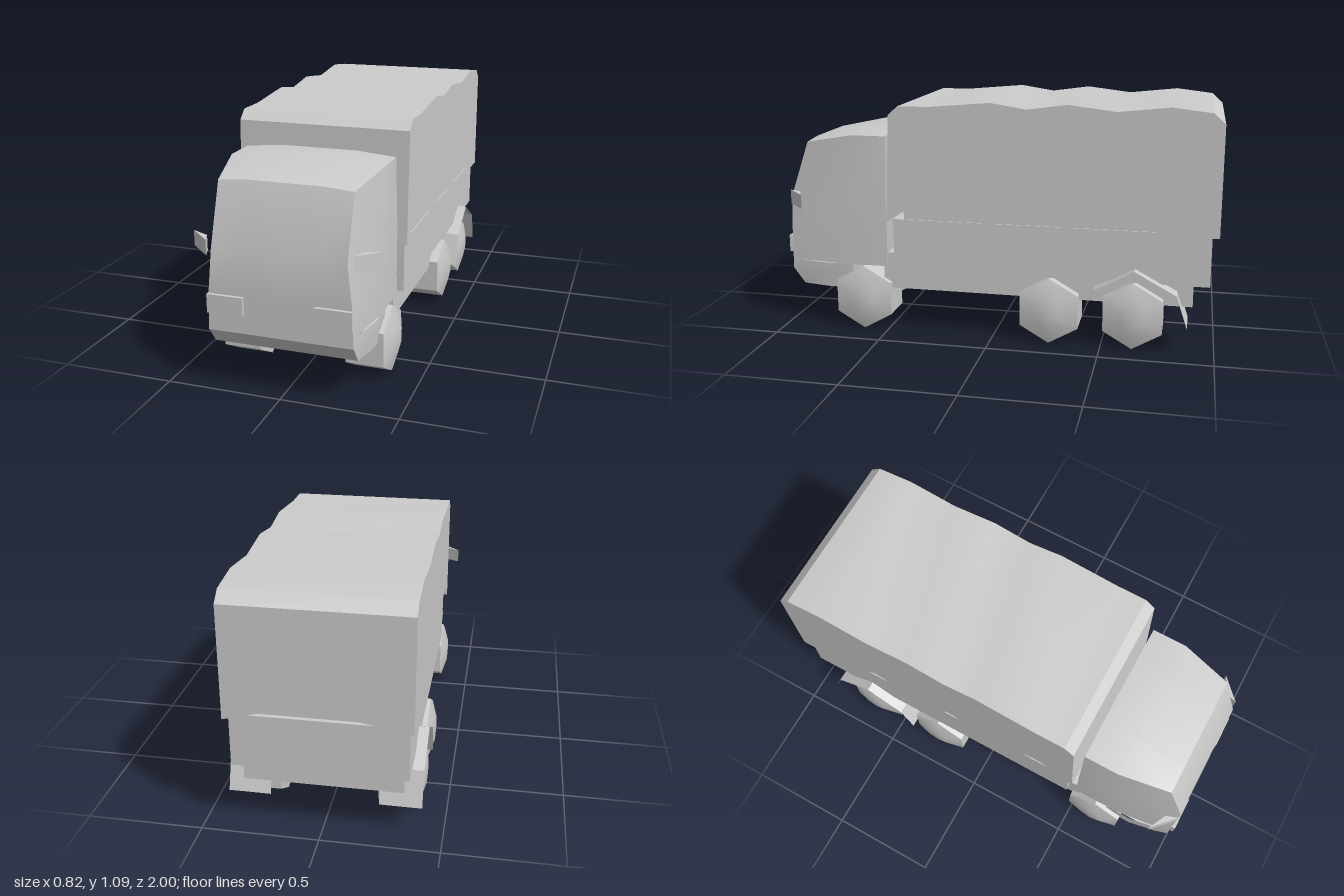
import * as THREE from 'three';
import { toCreasedNormals } from 'three/addons/utils/BufferGeometryUtils.js';

// Surface through rows of [x, y, z] points
function grid(rows, closed = false) {
  const n = rows[0].length, index = [];
  for (let i = 0; i < rows.length - 1; i++) {
    for (let j = 0; j < (closed ? n : n - 1); j++) {
      const k = (j + 1) % n;
      const a = i * n + j, b = i * n + k, c = (i + 1) * n + k, d = (i + 1) * n + j;
      index.push(a, b, c, a, c, d);
    }
  }
  const g = new THREE.BufferGeometry();
  g.setAttribute('position', new THREE.Float32BufferAttribute(rows.flat(2), 3));
  g.setIndex(index);
  return toCreasedNormals(g, 0.5);
}

// Sheet that follows [z, y] points between two x positions
const sheet = (path, x0, x1) => grid(path.map(([z, y]) => [[x0, y, z], [x1, y, z]]));

// Flat panel from [u, v] points
const panel = (pts) => new THREE.ShapeGeometry(new THREE.Shape(pts.map(([u, v]) => new THREE.Vector2(u, v))));

export function createModel() {
  const model = new THREE.Group();
  const grey = new THREE.MeshStandardMaterial({ color: 0xcccccc, side: THREE.DoubleSide });
  grey.name = 'grey';

  const add = (name, geometry, parent = model) => {
    const mesh = new THREE.Mesh(geometry, grey);
    mesh.name = name;
    parent.add(mesh);
    return mesh;
  };
  const box = (name, x0, x1, y0, y1, z0, z1, parent = model) => {
    const g = new THREE.BoxGeometry(x1 - x0, y1 - y0, z1 - z0);
    g.translate((x0 + x1) / 2, (y0 + y1) / 2, (z0 + z1) / 2);
    return add(name, g, parent);
  };
  const part = (name) => {
    const g = new THREE.Group();
    g.name = name;
    model.add(g);
    return g;
  };

  // Cab: horizontal rings, wider behind the chamfered front corners
  const cab = part('cab');
  const ring = (y, zf, fx, mx, zm, zb, rise = 0, yBack = y) => [
    [-fx, y, zf], [-0.16, y + rise, zf], [0.16, y + rise, zf], [fx, y, zf],
    [mx, yBack, zm], [mx, yBack, zb], [0.16, yBack + rise * 1.5, zb],
    [-0.16, yBack + rise * 1.5, zb], [-mx, yBack, zb], [-mx, yBack, zm],
  ];
  const upper = [
    ring(0.305, 0.985, 0.308, 0.343, 0.72, 0.5),
    ring(0.42, 0.985, 0.305, 0.344, 0.72, 0.5),
    ring(0.61, 0.985, 0.285, 0.344, 0.7, 0.5),
    ring(0.87, 0.895, 0.285, 0.335, 0.66, 0.5, 0.01, 0.915),
  ];
  const lower = [
    ring(0.187, 0.93, 0.31, 0.335, 0.8, 0.67),
    ring(0.26, 0.985, 0.31, 0.341, 0.8, 0.67),
    ring(0.305, 0.985, 0.308, 0.343, 0.8, 0.67),
  ];
  add('cabBody', grid(upper, true), cab);
  add('cabLowerFront', grid(lower, true), cab);
  const top = upper[3];
  const roofRow = (z) => [[-0.335, 0.915, z], [-0.16, 0.93, z], [0.16, 0.93, z], [0.335, 0.915, z]];
  add('cabRoof', grid([top.slice(0, 4), roofRow(0.66), roofRow(0.5)]), cab);
  add('cabFloor', sheet([[0.67, 0.187], [0.93, 0.187]], -0.335, 0.335).clone(), cab).scale.x = 0.93;
  add('wheelArchCeiling', sheet([[0.5, 0.305], [0.67, 0.305]], -0.343, 0.343), cab);

  // Hollow chassis skirt under the load bed
  const chassis = part('chassis');
  box('chassisFront', -0.335, 0.335, 0.2, 0.37, 0.46, 0.52, chassis);
  box('chassisRear', -0.335, 0.335, 0.2, 0.305, -0.9, -0.89, chassis);
  for (const s of [-1, 1]) {
    box('chassisSide', s * 0.33 - 0.005, s * 0.33 + 0.005, 0.2, 0.305, -0.9, 0.5, chassis);
  }

  // Load bed and the load space under the cover
  box('loadBed', -0.365, 0.365, 0.305, 0.54, -0.97, 0.46);
  box('loadSpace', -0.36, 0.36, 0.54, 0.9, -0.95, 0.41);

  // Canvas cover with wavy roof and zigzag hem
  const cover = part('canvasCover');
  const W = 0.383;
  const ridge = [
    [0.485, 0.53], [0.465, 1.02], [0.42, 1.06], [0.28, 1.06], [0, 1.085], [-0.16, 1.06],
    [-0.34, 1.085], [-0.55, 1.06], [-0.78, 1.085], [-0.95, 1.065], [-1, 1.02],
  ];
  const hem = [
    [-1, 0.53], [-0.77, 0.53], [-0.56, 0.65], [-0.34, 0.53], [-0.16, 0.65], [0, 0.53], [0.3, 0.65],
  ];
  add('coverRoof', sheet(ridge, -W, W), cover);
  for (const s of [-1, 1]) {
    // panel drawn in x = -z so that a quarter turn lays it along the truck
    const side = panel([...ridge, ...hem].map(([z, y]) => [-z, y]));
    side.rotateY(Math.PI / 2);
    if (s < 0) {
      const i = side.index.array;
      for (let k = 0; k < i.length; k += 3) [i[k], i[k + 1]] = [i[k + 1], i[k]];
      side.computeVertexNormals();
    }
    side.translate(s * W, 0, 0);
    add('coverSide', side, cover);
  }
  const rear = panel([[-W, 0.53], [0, 0.6], [0.17, 0.585], [W, 0.53], [W, 1.02], [-W, 1.02]]
    .map(([x, y]) => [-x, y]));
  rear.rotateY(Math.PI);
  rear.translate(0, 0, -1);
  add('coverRear', rear, cover);

  // Six-sided wheel with a domed outside and a recessed inside
  const profile = [[0, 0.06], [0.06, 0.06], [0.08, 0], [0.152, 0], [0.152, 0.165], [0.06, 0.192], [0, 0.192]];
  let wheel = new THREE.LatheGeometry(profile.map(([r, h]) => new THREE.Vector2(r, h)), 6, Math.PI / 6);
  wheel.rotateZ(-Math.PI / 2);
  wheel = toCreasedNormals(wheel, 0.5);

  // Mudguard outline over the rearmost wheel
  const guard = [[-0.41, 0.12], [-0.465, 0.27], [-0.645, 0.37], [-0.83, 0.27], [-0.88, 0.12]];

  // Mirror wedge, seen from above
  const wedge = (y) => [[0.31, y, 0.98], [0.41, y, 0.885], [0.33, y, 0.925]];

  // Paired parts
  for (const s of [-1, 1]) {
    for (const [name, z, x] of [['frontWheel', 0.615, 0.195], ['middleWheel', -0.265, 0.213], ['rearWheel', -0.64, 0.213]]) {
      const m = add(name, wheel);
      m.position.set(s * x, 0.152, z);
      m.rotation.y = s < 0 ? Math.PI : 0;
    }
    add('mudguard', sheet(guard, s < 0 ? -0.41 : 0.23, s < 0 ? -0.23 : 0.41));
    box('headlight', s * 0.23 - 0.078, s * 0.23 + 0.078, 0.34, 0.42, 0.98, 1);
    const mirror = part('sideMirror');
    mirror.scale.x = s;
    add('mirrorSides', grid([wedge(0.577), wedge(0.643)], true), mirror);
    for (const y of [0.577, 0.643]) {
      const [a, b, c] = wedge(y);
      add('mirrorCap', grid(y < 0.6 ? [[a, c], [b, c]] : [[a, b], [c, c]]), mirror);
    }
  }
  return model;
}
